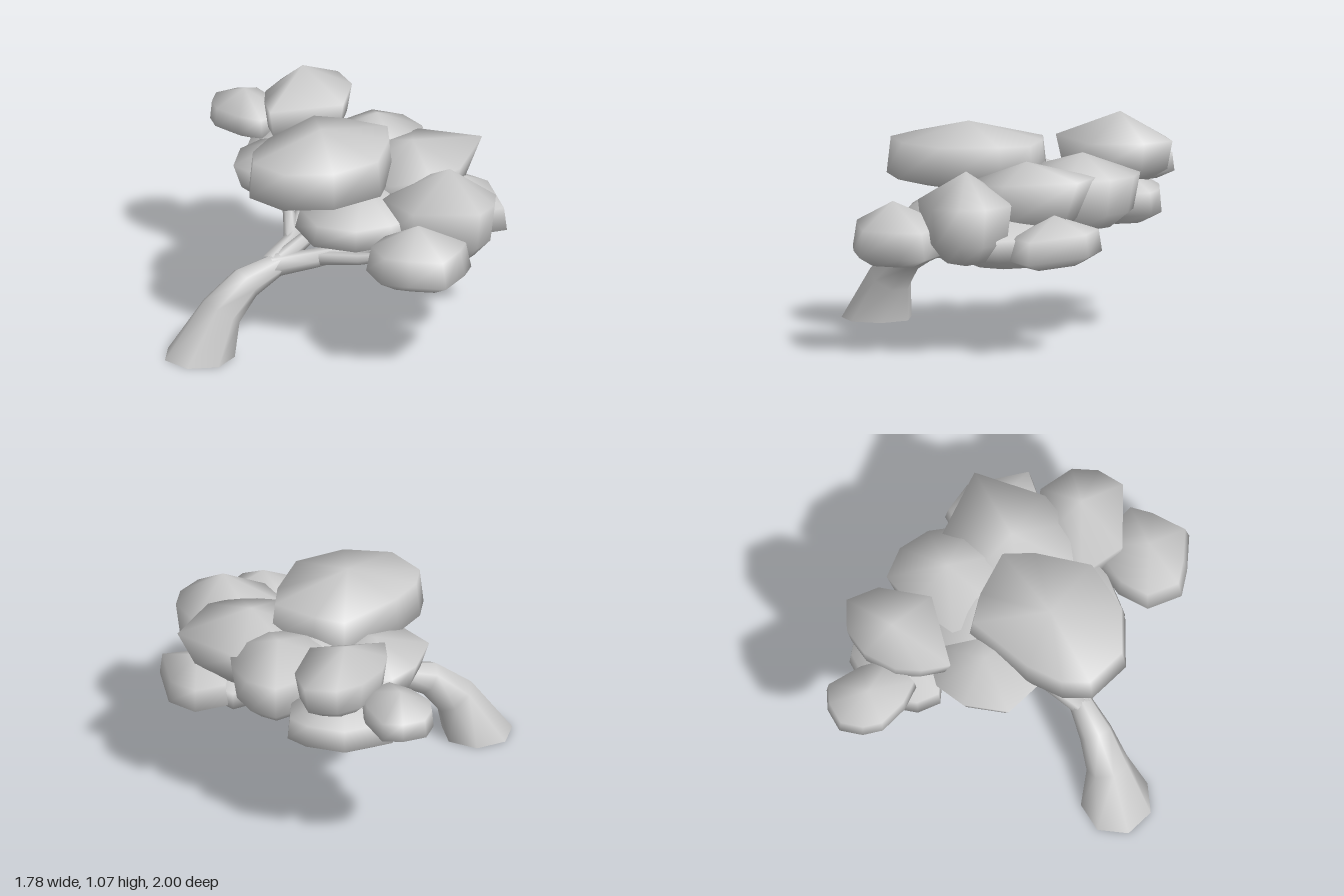
import * as THREE from 'three';
import { mergeVertices } from 'three/addons/utils/BufferGeometryUtils.js';

const material = new THREE.MeshStandardMaterial({ color: 0xcccccc });

// Smooth skin over equal-sized rings of points, listed from bottom to top
function skin(rings) {
  const sides = rings[0].length, index = [];
  for (let i = 0; i < rings.length - 1; i++) for (let j = 0; j < sides; j++) {
    const k = (j + 1) % sides, a = i * sides, b = a + sides;
    index.push(a + j, a + k, b + k, a + j, b + k, b + j);
  }
  const geo = new THREE.BufferGeometry().setFromPoints(rings.flat());
  geo.setIndex(index);
  const merged = mergeVertices(geo, 1e-4);
  merged.computeVertexNormals();
  return merged;
}

// Tapered limb through points [x, y, z, radius]; the first ring can lie flat on the ground
function limb(points, sides, flatStart = false) {
  const centres = points.map(p => new THREE.Vector3(p[0], p[1], p[2]));
  const last = points.length - 1;
  return skin(centres.map((c, i) => {
    const t = centres[Math.min(i + 1, last)].clone().sub(centres[Math.max(i - 1, 0)]).normalize();
    if (i === 0 && flatStart) t.set(0, 1, 0);
    const u = new THREE.Vector3().crossVectors(t, new THREE.Vector3(0, 0, 1)).normalize();
    const v = new THREE.Vector3().crossVectors(t, u);
    return Array.from({ length: sides }, (_, j) => {
      const a = ((2 * j + 1) / sides) * Math.PI, r = points[i][3];
      return c.clone().addScaledVector(u, Math.cos(a) * r).addScaledVector(v, Math.sin(a) * r);
    });
  }));
}

// Leaf clump with a plan outline [x, z], levels [bottom, rim, shoulder, peak],
// scales of rim and shoulder, and slopes of its height along x and z
function clump(outline, [bottom, rim, shoulder, peak], [rimScale, shoulderScale], [slopeX, slopeZ] = [0, 0]) {
  const cx = outline.reduce((s, p) => s + p[0], 0) / outline.length;
  const cz = outline.reduce((s, p) => s + p[1], 0) / outline.length;
  const offsets = outline.map(([x, z]) => [x - cx, z - cz])
    .sort((a, b) => Math.atan2(-a[1], a[0]) - Math.atan2(-b[1], b[0]));
  const ring = (y, s) => offsets.map(([x, z]) =>
    new THREE.Vector3(cx + x * s, y + (x * slopeX + z * slopeZ) * s, cz + z * s));
  return skin([
    ring(bottom, 0), ring(bottom + (rim - bottom) * 0.25, rimScale * 0.6),
    ring(rim, rimScale), ring(shoulder, shoulderScale), ring(peak, 0),
  ]);
}

export function createModel() {
  const tree = new THREE.Group();
  tree.name = 'leaningTree';
  const branches = new THREE.Group();
  branches.name = 'branches';
  const crown = new THREE.Group();
  crown.name = 'crown';
  tree.add(branches, crown);
  const add = (parent, name, geo) => {
    const mesh = new THREE.Mesh(geo, material);
    mesh.name = name;
    parent.add(mesh);
  };
  const leaves = (name, ...shape) => add(crown, name, clump(...shape));

  // Leaning trunk and its underside
  add(tree, 'trunk', limb([
    [-0.712, 0, 0.27, 0.177], [-0.595, 0.22, 0.265, 0.108],
    [-0.46, 0.345, 0.25, 0.085], [-0.27, 0.41, 0.22, 0.055], [-0.18, 0.425, 0.21, 0.03],
  ], 7, true));
  const base = new THREE.CircleGeometry(0.177, 7, Math.PI / 7);
  add(tree, 'trunkBase', base.rotateX(Math.PI / 2).translate(-0.712, 0, 0.27));

  // Branches fanning out under the crown
  [
    [[-0.32, 0.4, 0.23, 0.055], [-0.1, 0.42, 0.25, 0.048], [0.12, 0.45, 0.28, 0.035], [0.46, 0.45, 0.35, 0.006]],
    [[-0.1, 0.42, 0.25, 0.035], [0.08, 0.45, 0.4, 0.03], [0.34, 0.54, 0.66, 0.006]],
    [[0.08, 0.45, 0.27, 0.03], [0.25, 0.46, 0.2, 0.025], [0.55, 0.52, 0.12, 0.006]],
    [[-0.32, 0.41, 0.22, 0.05], [-0.17, 0.46, 0.1, 0.042], [0, 0.54, -0.15, 0.034], [0.12, 0.62, -0.54, 0.008]],
    [[-0.17, 0.46, 0.1, 0.035], [-0.13, 0.54, -0.03, 0.03], [-0.1, 0.7, -0.25, 0.008]],
    [[-0.27, 0.42, 0.22, 0.045], [-0.08, 0.5, 0.14, 0.036], [0.12, 0.58, 0.05, 0.028], [0.38, 0.68, -0.1, 0.006]],
    [[-0.02, 0.53, -0.12, 0.026], [0.1, 0.58, -0.28, 0.022], [0.32, 0.66, -0.38, 0.006]],
  ].forEach(points => add(branches, 'branch', limb(points, 6)));

  // Crown, upper clumps
  leaves('topClump', [[0.07, -0.23], [0.21, -0.14], [0.38, 0.04], [0.33, 0.2], [0.17, 0.46], [-0.1, 0.53],
    [-0.34, 0.45], [-0.44, 0.24], [-0.39, 0.1], [-0.25, -0.04]], [0.74, 0.79, 0.97, 1.06], [0.99, 0.94], [0.01, 0]);
  leaves('backTopClump', [[-0.1, -0.38], [-0.08, -0.52], [-0.03, -0.64], [0.1, -0.76], [0.24, -0.8],
    [0.39, -0.75], [0.4, -0.58], [0.27, -0.35]], [0.72, 0.8, 0.94, 1.07], [0.9, 1]);
  leaves('farBackClump', [[-0.24, -0.78], [-0.23, -0.88], [-0.17, -0.98], [-0.05, -1], [0.05, -0.97],
    [0.09, -0.78], [0.08, -0.62], [-0.08, -0.55], [-0.17, -0.64]], [0.68, 0.73, 0.82, 0.9], [1, 0.95]);
  leaves('backLowClump', [[0.2, -0.8], [0.37, -0.7], [0.44, -0.6], [0.39, -0.42], [0.1, -0.34],
    [-0.15, -0.45], [-0.16, -0.57], [-0.05, -0.76]], [0.52, 0.59, 0.7, 0.83], [1, 0.96]);

  // Crown, middle clumps
  leaves('rightBackClump', [[-0.37, -0.17], [-0.26, -0.37], [-0.12, -0.46], [0.1, -0.44], [0.22, -0.15],
    [0.05, 0.15], [-0.27, 0.04]], [0.56, 0.65, 0.77, 0.87], [0.84, 1], [-0.05, 0]);
  leaves('leftBackClump', [[0.48, -0.51], [0.6, -0.4], [0.64, -0.24], [0.6, -0.02], [0.4, 0.12],
    [0.1, -0.02], [0.1, -0.3], [0.3, -0.44]], [0.54, 0.64, 0.82, 0.93], [0.88, 1]);
  leaves('leftClump', [[0.84, 0.07], [0.62, 0.36], [0.45, 0.42], [0.25, 0.38], [0.15, 0.08], [0.3, -0.2],
    [0.58, -0.2]], [0.5, 0.63, 0.82, 0.92], [0.75, 1], [0.1, 0]);
  leaves('leftFrontClump', [[0.27, 0.64], [0.58, 0.75], [0.69, 0.66], [0.74, 0.54], [0.69, 0.36],
    [0.4, 0.22], [0.2, 0.4]], [0.44, 0.56, 0.75, 0.91], [0.9, 1]);
  leaves('innerClump', [[0.5, -0.25], [0.48, 0.2], [0.15, 0.3], [-0.14, 0.1], [-0.12, -0.28],
    [0.1, -0.42], [0.38, -0.42]], [0.53, 0.61, 0.78, 0.87], [0.9, 1]);

  // Crown, lower clumps
  leaves('middleClump', [[-0.17, 0.42], [0, 0.56], [0.2, 0.55], [0.45, 0.45], [0.45, 0.12], [0.1, 0],
    [-0.17, 0.16]], [0.51, 0.56, 0.66, 0.82], [1, 0.92]);
  leaves('frontLowClump', [[0.01, 0.68], [0.13, 0.57], [0.38, 0.5], [0.53, 0.76], [0.46, 0.86], [0.31, 1],
    [0.14, 0.93], [0.02, 0.86]], [0.43, 0.5, 0.63, 0.75], [1, 0.9], [-0.04, -0.02]);
  leaves('leftLowClump', [[0.62, -0.07], [0.79, -0.1], [0.89, 0.04], [0.86, 0.37], [0.68, 0.37],
    [0.52, 0.2]], [0.43, 0.49, 0.6, 0.69], [1, 0.93], [0, -0.06]);
  leaves('underClump', [[0.25, 0], [0.6, -0.1], [0.76, 0.15], [0.7, 0.45], [0.5, 0.58],
    [0.22, 0.4]], [0.41, 0.47, 0.58, 0.7], [0.88, 1]);

  return tree;
}
